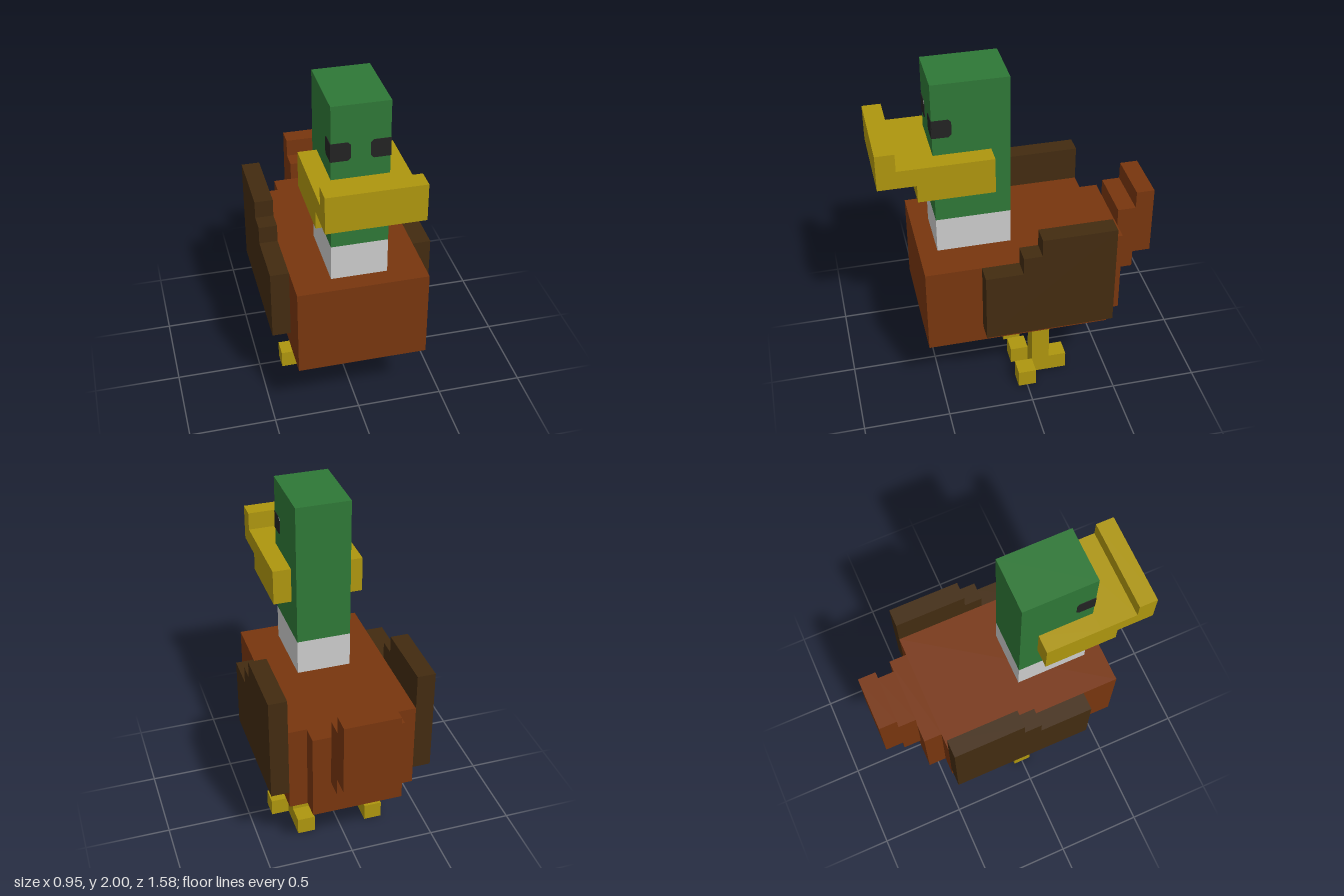
import * as THREE from 'three';

const U = 2 / 19; // one block
const mat = (name, color) => Object.assign(new THREE.MeshStandardMaterial({ color }), { name });

export function createModel() {
  const root = new THREE.Group();
  root.name = 'blockDuck';
  const green = mat('headGreen', 0x2e7736);
  const white = mat('collarWhite', 0xcacaca);
  const brown = mat('bodyBrown', 0x77350e);
  const dark = mat('wingDarkBrown', 0x422b10);
  const yellow = mat('beakYellow', 0xad950e);
  const black = mat('eyeBlack', 0x222222);

  const group = (name) => {
    const g = new THREE.Group();
    g.name = name;
    root.add(g);
    return g;
  };
  // Box from min and max corners, in blocks
  const box = (parent, name, material, x0, x1, y0, y1, z0, z1) => {
    const m = new THREE.Mesh(new THREE.BoxGeometry((x1 - x0) * U, (y1 - y0) * U, (z1 - z0) * U), material);
    m.position.set((x0 + x1) / 2 * U, (y0 + y1) / 2 * U, (z0 + z1) / 2 * U);
    m.name = name;
    parent.add(m);
  };
  // Side outline of [z, y] points, in blocks, extruded from x0 to x1
  const slab = (parent, name, material, points, x0, x1) => {
    const shape = new THREE.Shape(points.map(([z, y]) => new THREE.Vector2(-z * U, y * U)));
    const geo = new THREE.ExtrudeGeometry(shape, { depth: (x1 - x0) * U, bevelEnabled: false });
    geo.rotateY(Math.PI / 2).translate(x0 * U, 0, 0);
    const m = new THREE.Mesh(geo, material);
    m.name = name;
    parent.add(m);
  };

  // Body and rump
  const body = group('body');
  box(body, 'torso', brown, -3.5, 3.5, 4, 9, -4.5, 5.5);
  box(body, 'rump', brown, -2.5, 2.5, 4, 9, -5.5, -4.5);

  // Stepped tail
  slab(root, 'tail', brown, [[-5.5, 6], [-6.5, 6], [-6.5, 7], [-7.5, 7], [-7.5, 11],
    [-6.5, 11], [-6.5, 10], [-5.5, 10]], -1.5, 1.5);

  // Wings: the right one reaches one block further forward
  const wing = (front) => [[front, 5], [-4.5, 5], [-4.5, 11], [-0.5, 11], [-0.5, 10], [0.5, 10], [0.5, 9], [front, 9]];
  slab(root, 'leftWing', dark, wing(2.5), 3.5, 4.5);
  slab(root, 'rightWing', dark, wing(3.5), -4.5, -3.5);

  // Collar and head
  box(root, 'collar', white, -1.5, 1.5, 9, 11, 0.5, 4.5);
  box(root, 'head', green, -1.5, 1.5, 11, 19, 0.5, 4.5);

  // Beak: cheeks beside the head, then a bill with an upturned tip
  const beak = group('beak');
  slab(beak, 'bill', yellow, [[4.5, 13], [4.5, 15], [6.5, 15], [6.5, 16], [7.5, 16],
    [7.5, 14], [5.5, 14], [5.5, 13]], -2.5, 2.5);
  for (const s of [-1, 1]) {
    box(beak, 'cheek', yellow, s > 0 ? 1.5 : -2.5, s > 0 ? 2.5 : -1.5, 13, 15, 1.5, 4.5);
  }

  // Eyes: two thin plates wrapped around each front corner of the head
  const c = 0.15;
  const eyeShape = new THREE.Shape([[0, 0], [1 - c, 0], [1, c], [1, 1 - c], [1 - c, 1], [0, 1]]
    .map(([x, y]) => new THREE.Vector2(x * U, y * U)));
  const t = 0.003;
  const eyeGeo = new THREE.ExtrudeGeometry(eyeShape, { depth: t, bevelEnabled: false });
  for (const s of [-1, 1]) {
    const eye = group(s > 0 ? 'leftEye' : 'rightEye');
    const front = new THREE.Mesh(eyeGeo, black);
    const side = new THREE.Mesh(eyeGeo, black);
    front.name = 'eyeFront';
    side.name = 'eyeSide';
    // Turned half over or a quarter round so the chamfers point away from the corner
    if (s > 0) {
      front.rotation.z = Math.PI;
      side.rotation.y = Math.PI / 2;
    } else {
      side.rotation.set(0, Math.PI / 2, 0);
    }
    front.position.set(s * 1.5 * U, (s > 0 ? 17 : 16) * U, 4.5 * U);
    side.position.set(s > 0 ? 1.5 * U : -1.5 * U - t, 16 * U, 4.5 * U);
    eye.add(front, side);
  }

  // Legs, each with two splayed front toes and one back toe
  for (const s of [-1, 1]) {
    const leg = group(s > 0 ? 'leftLeg' : 'rightLeg');
    const x = s * 2;
    box(leg, 'shin', yellow, x - 0.5, x + 0.5, 0, 4, -1.5, -0.5);
    box(leg, 'backToe', yellow, x - 0.5, x + 0.5, 0, 1, -2.5, -1.5);
    for (const d of [-1, 1]) {
      box(leg, 'frontToe', yellow, x + d - 0.5, x + d + 0.5, 0, 1, -0.5, 0.5);
    }
  }
  return root;
}
